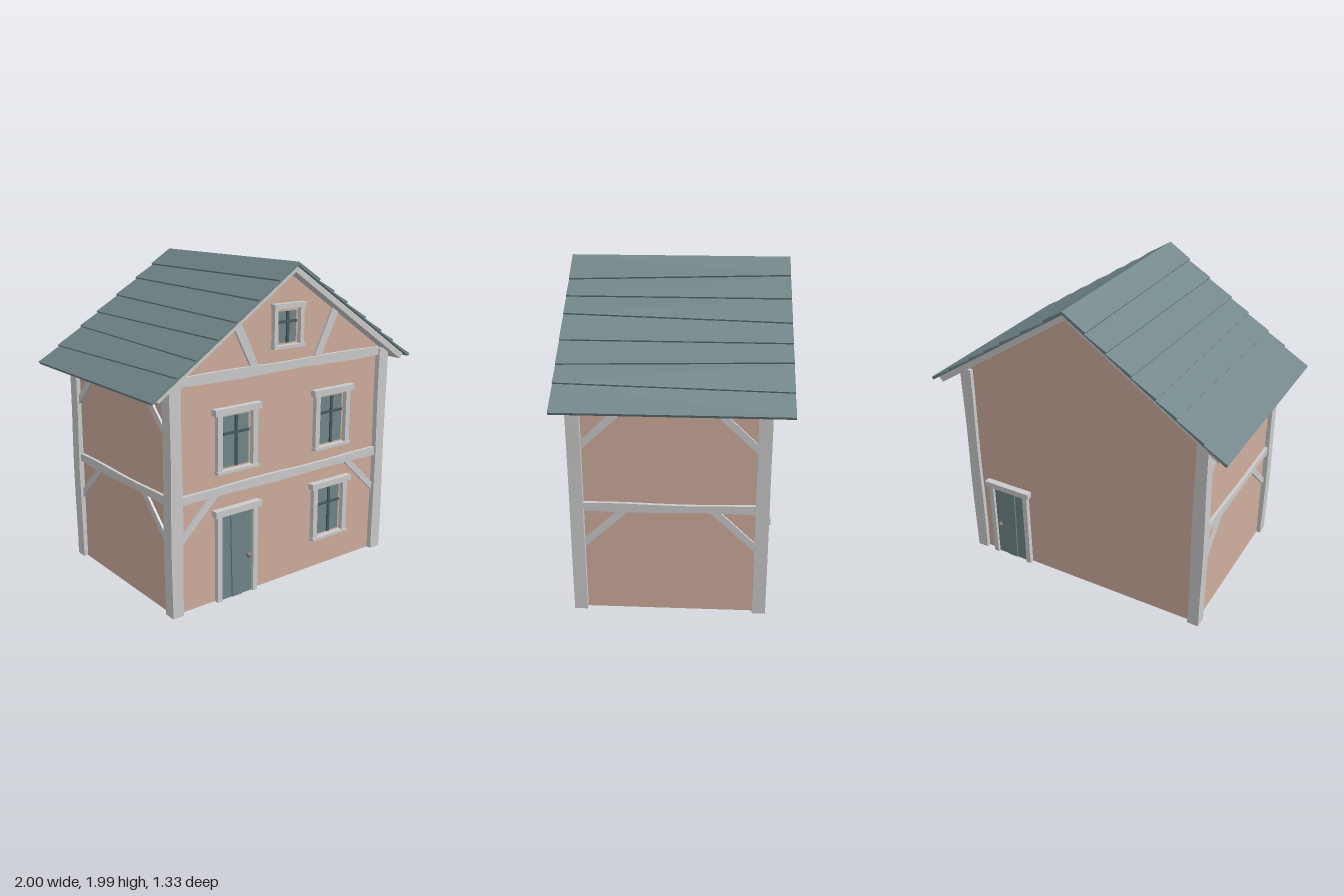
import * as THREE from 'three';
import { ConvexGeometry } from 'three/addons/geometries/ConvexGeometry.js';

const mat = (name, color) => {
  const m = new THREE.MeshStandardMaterial({ color });
  m.name = name;
  return m;
};

export function createModel() {
  const plaster = mat('plaster', 0xcfae9d);
  const timber = mat('timber', 0xcbcbcb);
  const slate = mat('slate', 0x718689);
  const darkSlate = mat('darkSlate', 0x4a5a5e);
  const metal = mat('metal', 0x7d7876);

  const house = new THREE.Group();
  house.name = 'house';
  const CX = 0.012, FRONT = 0.565, BACK = -0.525;

  const add = (parent, name, geometry, material) => {
    const mesh = new THREE.Mesh(geometry, material);
    mesh.name = name;
    parent.add(mesh);
    return mesh;
  };
  const group = (name, parent = house) => {
    const g = new THREE.Group();
    g.name = name;
    parent.add(g);
    return g;
  };
  // box given by its lower and upper bounds
  const box = (parent, name, m, x0, x1, y0, y1, z0, z1) => {
    const mesh = add(parent, name, new THREE.BoxGeometry(x1 - x0, y1 - y0, z1 - z0), m);
    mesh.position.set((x0 + x1) / 2, (y0 + y1) / 2, (z0 + z1) / 2);
    return mesh;
  };
  // flat outline extruded from z0 to z1
  const plate = (parent, name, m, pts, z0, z1) => {
    const shape = new THREE.Shape(pts.map(p => new THREE.Vector2(p[0], p[1])));
    const g = new THREE.ExtrudeGeometry(shape, { depth: z1 - z0, bevelEnabled: false });
    return add(parent, name, g.translate(0, 0, z0), m);
  };
  // hand-hewn beam: a box whose long edges waver a little
  const beam = (parent, name, m, x0, x1, y0, y1, z0, z1, seed) => {
    const lx = x1 - x0, ly = y1 - y0, upright = ly > lx;
    const g = new THREE.BoxGeometry(lx, ly, z1 - z0, upright ? 1 : 7, upright ? 7 : 1, 1);
    const p = g.attributes.position;
    for (let i = 0; i < p.count; i++) {
      const x = p.getX(i), y = p.getY(i);
      if (upright) p.setX(i, x + 0.003 * Math.sin(y * 6 + seed + Math.sign(x)));
      else p.setY(i, y + 0.004 * Math.sin(x * 7 + seed + 2 * Math.sign(y)));
    }
    g.computeVertexNormals();
    const mesh = add(parent, name, g, m);
    mesh.position.set((x0 + x1) / 2, (y0 + y1) / 2, (z0 + z1) / 2);
    return mesh;
  };

  // walls with gables
  plate(house, 'walls', plaster,
    [[-0.81, 0], [0.83, 0], [0.83, 1.395], [CX, 1.935], [-0.81, 1.395]], BACK, FRONT);

  // corner posts
  let seed = 0;
  for (const [x0, x1] of [[-0.84, -0.763], [0.787, 0.863]])
    for (const [z0, z1] of [[-0.552, -0.473], [0.522, 0.6]])
      beam(house, 'cornerPost', timber, x0, x1, 0, 1.39, z0, z1, seed++);

  // front beams and braces
  const frame = group('frontTimbers');
  beam(frame, 'floorBeam', timber, -0.77, 0.795, 0.67, 0.722, 0.55, 0.588, 1);
  beam(frame, 'atticBeam', timber, -0.77, 0.795, 1.347, 1.403, 0.55, 0.588, 3);
  for (const s of [-1, 1]) {
    const at = pts => pts.map(([x, y]) => [CX + s * x, y]);
    plate(frame, 'lowerBrace', timber,
      at([[0.775, 0.42], [0.775, 0.475], [0.565, 0.675], [0.505, 0.675]]), 0.55, 0.58);
    plate(frame, 'gableBrace', timber,
      at([[0.217, 1.4], [0.275, 1.4], [0.412, 1.662], [0.362, 1.692]]), 0.55, 0.58);
  }

  // side beams and braces, built facing +z and turned outward
  for (const s of [1, -1]) {
    const side = group(s > 0 ? 'leftTimbers' : 'rightTimbers');
    side.position.set(s > 0 ? 0.83 : -0.81, 0, 0.025);
    side.rotation.y = s * Math.PI / 2;
    beam(side, 'floorBeam', timber, -0.5, 0.5, 0.67, 0.72, -0.02, 0.02, 2);
    beam(side, 'eaveBeam', timber, -0.5, 0.5, 1.302, 1.36, -0.02, 0.02, 4);
    for (const k of [-1, 1])
      for (const y of [0, 0.635])
        plate(side, 'brace', timber,
          [[k * 0.5, 0.42 + y], [k * 0.5, 0.475 + y], [k * 0.295, 0.675 + y], [k * 0.232, 0.675 + y]],
          -0.015, 0.014);
  }

  // window: outer half width w, from y0 to y1
  const addWindow = (name, cx, y0, y1, w, t, over) => {
    const g = group(name);
    g.position.set(cx, 0, FRONT);
    const top = y1 - t * 1.05, px = w - t - 0.017, p0 = y0 + 0.03, p1 = top - 0.02;
    for (const s of [-1, 1])
      box(g, 'jamb', timber, s > 0 ? w - t : -w, s > 0 ? w : -w + t, y0 + 0.015, top, -0.01, 0.03);
    box(g, 'lintel', timber, -w - over, w + over, top, y1, -0.01, 0.042);
    box(g, 'sill', timber, -w - 0.005, w + 0.005, y0, y0 + 0.018, -0.01, 0.038);
    box(g, 'glass', slate, -px, px, p0, p1, -0.002, 0.006);
    const bar = p0 + (p1 - p0) * 0.67;
    box(g, 'verticalBar', darkSlate, -0.009, 0.009, p0, p1, 0, 0.016);
    box(g, 'crossBar', darkSlate, -px, px, bar - 0.008, bar + 0.008, 0, 0.014);
  };
  addWindow('upperWindowRight', -0.366, 0.8, 1.19, 0.147, 0.036, 0.022);
  addWindow('upperWindowLeft', 0.391, 0.8, 1.19, 0.147, 0.036, 0.022);
  addWindow('lowerWindow', 0.391, 0.193, 0.583, 0.147, 0.036, 0.022);
  addWindow('gableWindow', CX, 1.483, 1.747, 0.115, 0.028, 0.007);

  // plank doors; dir is the way they face
  const addDoor = (name, cx, z, dir) => {
    const g = group(name);
    g.position.set(cx, 0, z);
    for (const s of [-1, 1])
      box(g, 'jamb', timber, s > 0 ? 0.117 : -0.15, s > 0 ? 0.15 : -0.117, 0, 0.545, -0.032, 0.032);
    box(g, 'lintel', timber, -0.17, 0.17, 0.543, 0.583, -0.043, 0.043);
    const seams = [[-0.117, -0.117], [-0.034, -0.047], [0.043, 0.038], [0.117, 0.117]];
    for (let i = 0; i < 3; i++) {
      const [a0, a1] = seams[i], [b0, b1] = seams[i + 1], d = i === 1 ? 0.02 : 0.015;
      plate(g, 'doorPlank', slate,
        [[a0 + 0.002, 0], [b0 - 0.002, 0], [b1 - 0.002, 0.545], [a1 + 0.002, 0.545]], -d, d);
    }
    box(g, 'doorBacking', darkSlate, -0.117, 0.117, 0.002, 0.545, -0.008, 0.008);
    const knob = add(g, 'knob', new THREE.SphereGeometry(0.016, 12, 8), metal);
    knob.position.set(0.085, 0.245, dir * 0.026);
  };
  addDoor('frontDoor', -0.366, FRONT, 1);
  addDoor('backDoor', 0.57, BACK, -1);

  // roof deck under the planks
  plate(house, 'roofDeck', timber,
    [[CX, 1.928], [0.935, 1.315], [0.962, 1.345], [CX, 1.97], [-0.962, 1.325], [-0.932, 1.3]], -0.64, 0.64);

  // overlapping roof planks: seam distances from the ridge at the back and at the front
  const addSlope = (name, s, slope, seams) => {
    const g = group(name);
    const n = new THREE.Vector2(s * slope, 1).normalize();
    const point = (u, lift, z) => u === 0 && lift > 0
      ? new THREE.Vector3(CX, 1.988, z)
      : new THREE.Vector3(CX + s * u + n.x * lift, 1.968 - slope * u + n.y * lift, z);
    for (let i = 0; i < seams.length - 1; i++) {
      const pts = [];
      [-0.665, 0.665].forEach((z, e) => {
        const u0 = seams[i][e], u1 = seams[i + 1][e];
        pts.push(point(u0, 0, z), point(u0, 0.008, z), point(u1, 0, z), point(u1, 0.02, z));
      });
      add(g, 'roofPlank', new ConvexGeometry(pts), slate);
    }
  };
  addSlope('roofRight', -1, 0.665, [[0, 0], [0.135, 0.135], [0.265, 0.285], [0.42, 0.445],
    [0.57, 0.57], [0.695, 0.715], [0.86, 0.835], [1.0, 1.0]]);
  addSlope('roofLeft', 1, 0.655, [[0, 0], [0.12, 0.16], [0.275, 0.275], [0.43, 0.39],
    [0.555, 0.555], [0.67, 0.7], [0.84, 0.81], [0.977, 0.977]]);

  return house;
}
